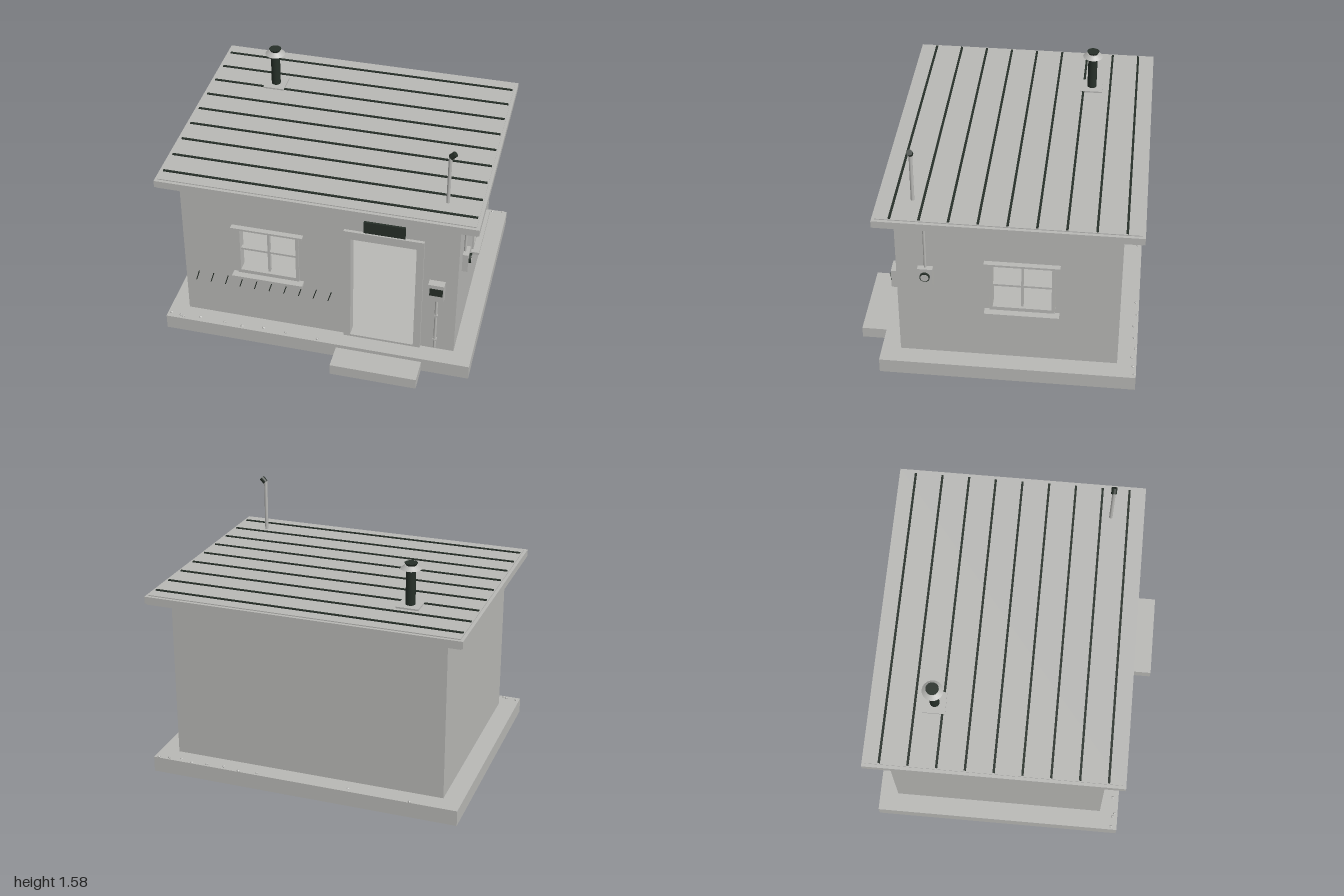
import * as THREE from 'three';

const grey = new THREE.MeshStandardMaterial({ color: 0xb8b8b5 });
grey.name = 'concrete grey';
const dark = new THREE.MeshStandardMaterial({ color: 0x262f28 });
dark.name = 'dark green';

function add(parent, name, geometry, material = grey) {
  const mesh = new THREE.Mesh(geometry, material);
  mesh.name = name;
  parent.add(mesh);
  return mesh;
}

// Box given by its minimum and maximum on each axis
function box(parent, name, [x0, x1], [y0, y1], [z0, z1], material = grey) {
  const mesh = add(parent, name, new THREE.BoxGeometry(x1 - x0, y1 - y0, z1 - z0), material);
  mesh.position.set((x0 + x1) / 2, (y0 + y1) / 2, (z0 + z1) / 2);
  return mesh;
}

// Upright cylinder or cone between two heights
function post(parent, name, x, z, y0, y1, rBottom, rTop, material = grey) {
  const mesh = add(parent, name, new THREE.CylinderGeometry(rTop, rBottom, y1 - y0, 20), material);
  mesh.position.set(x, (y0 + y1) / 2, z);
  return mesh;
}

function rectPath(Type, [x0, x1], [y0, y1]) {
  const p = new Type();
  p.moveTo(x0, y0);
  p.lineTo(x1, y0);
  p.lineTo(x1, y1);
  p.lineTo(x0, y1);
  p.closePath();
  return p;
}

// Upright panel with rectangular openings, its back at z = 0
function panel(xs, ys, openings, depth) {
  const shape = rectPath(THREE.Shape, xs, ys);
  openings.forEach(([hx, hy]) => shape.holes.push(rectPath(THREE.Path, hx, hy)));
  return new THREE.ExtrudeGeometry(shape, { depth, bevelEnabled: false });
}

// Open four-pane window; z = 0 is the outer wall face
function makeWindow(name) {
  const w = new THREE.Group();
  w.name = name;
  const frame = add(w, 'windowFrame',
    panel([-0.2, 0.2], [0.485, 0.85], [[[-0.18, 0.18], [0.51, 0.825]]], 0.07));
  frame.position.z = -0.06;
  box(w, 'verticalGlazingBar', [-0.007, 0.007], [0.51, 0.825], [-0.04, -0.01]);
  box(w, 'horizontalGlazingBar', [-0.18, 0.18], [0.66, 0.674], [-0.04, -0.01]);
  box(w, 'windowSill', [-0.23, 0.23], [0.466, 0.485], [0, 0.053]);
  box(w, 'windowHood', [-0.23, 0.23], [0.848, 0.86], [0, 0.035]);
  return w;
}

export function createModel() {
  const model = new THREE.Group();
  model.name = 'utilityHut';

  // Foundation and step
  box(model, 'foundation', [-1, 1], [0, 0.1], [-0.885, 0.72]);
  box(model, 'doorStep', [0.14, 0.695], [0, 0.075], [0.72, 0.885]);

  // Hollow walls
  const H = [0.1, 1.147];
  const front = add(model, 'frontWall', panel([-0.88, 0.88], H, [
    [[-0.525, -0.125], [0.485, 0.85]],
    [[0.21, 0.62], [0.115, 0.905]],
  ], 0.06));
  front.position.z = 0.54;
  const side = add(model, 'leftWall', panel([-0.54, 0.765], H, [[[-0.035, 0.37], [0.485, 0.85]]], 0.06));
  side.rotation.y = Math.PI / 2;
  side.position.x = 0.82;
  box(model, 'rightWall', [-0.88, -0.82], H, [-0.765, 0.54]);
  box(model, 'backWall', [-0.82, 0.82], H, [-0.765, -0.705]);

  // Windows
  const frontWindow = makeWindow('frontWindow');
  frontWindow.position.set(-0.325, 0, 0.6);
  const sideWindow = makeWindow('sideWindow');
  sideWindow.position.set(0.88, 0, -0.167);
  sideWindow.rotation.y = Math.PI / 2;
  model.add(frontWindow, sideWindow);

  // Doorway
  const doorFrame = add(model, 'doorFrame',
    panel([0.165, 0.665], [0.1, 0.963], [[[0.21, 0.62], [0.115, 0.905]]], 0.02));
  doorFrame.position.z = 0.6;
  box(model, 'doorSign', [0.288, 0.546], [0.967, 1.05], [0.6, 0.614], dark);
  box(model, 'doorLamp', [0.385, 0.45], [1.06, 1.13], [0.6, 0.611]);

  // Roof with raised seams
  box(model, 'roofSlab', [-0.99, 0.99], [1.145, 1.19], [-0.875, 0.702]);
  box(model, 'roofEdge', [-1, 1], [1.155, 1.2], [-0.885, 0.71]);
  box(model, 'roofSheet', [-0.98, 0.98], [1.2, 1.206], [-0.865, 0.69]);
  for (let i = 0; i < 9; i++) {
    const z = -0.78 + i * 0.1731;
    box(model, 'roofSeam', [-0.973, 0.973], [1.204, 1.213], [z - 0.007, z + 0.007], dark);
  }

  // Chimney
  const cx = -0.565, cz = -0.487;
  box(model, 'chimneyPlate', [cx - 0.07, cx + 0.07], [1.204, 1.216], [cz - 0.07, cz + 0.07]);
  post(model, 'chimneyPipe', cx, cz, 1.21, 1.455, 0.03, 0.03, dark);
  post(model, 'chimneyRain hood', cx, cz, 1.443, 1.465, 0.065, 0.038).name = 'chimneyHood';
  post(model, 'chimneyCap', cx, cz, 1.463, 1.48, 0.03, 0.04, dark);

  // Roof mast with tilted head
  post(model, 'mast', 0.775, 0.497, 1.2, 1.545, 0.011, 0.011);
  const head = post(model, 'mastHead', 0.79, 0.497, 1.533, 1.571, 0.018, 0.018, dark);
  head.rotation.z = -Math.PI / 4;

  // Meter box by the door
  box(model, 'meterBox', [0.705, 0.805], [0.54, 0.668], [0.6, 0.65]);
  box(model, 'meterDisplay', [0.715, 0.798], [0.587, 0.641], [0.65, 0.654], dark);
  post(model, 'meterConduit', 0.757, 0.611, 0.12, 0.54, 0.009, 0.009);
  for (const y of [0.19, 0.39]) {
    box(model, 'conduitClip', [0.745, 0.769], [y - 0.006, y + 0.006], [0.6, 0.622]);
  }

  // Side box with round dial
  box(model, 'sideBox', [0.88, 0.916], [0.66, 0.79], [0.373, 0.466]);
  const dial = post(model, 'dialRim', 0.922, 0.42, 0.728, 0.744, 0.031, 0.031, dark);
  const face = post(model, 'dialFace', 0.931, 0.42, 0.735, 0.737, 0.025, 0.025);
  dial.rotation.z = face.rotation.z = -Math.PI / 2;
  post(model, 'sideConduit', 0.888, 0.42, 0.79, 1.125, 0.008, 0.008);

  // Painted slashes along the front wall
  for (let i = 0; i < 10; i++) {
    const slash = add(model, 'paintedSlash', new THREE.BoxGeometry(0.006, 0.08, 0.004), dark);
    slash.position.set(-0.804 + i * 0.0972, 0.392, 0.601);
    slash.rotation.z = -0.29;
  }

  // Pebbles along the front and back ledges
  const rows = [
    [0.69, [-0.98, -0.91, -0.89, -0.78, -0.61, -0.49, -0.35, -0.2, 0.01]],
    [-0.865, [0.97, 0.9, 0.82, 0.74, 0.64, 0.53, 0.42, 0.3, -0.3, -0.7]],
  ];
  rows.forEach(([z, xs]) => xs.forEach((x, i) => {
    const pebble = add(model, 'pebble', new THREE.IcosahedronGeometry(0.011, 0));
    pebble.position.set(x, 0.103, z + (i % 3 - 1) * 0.01);
    pebble.scale.y = 0.7;
    pebble.rotation.y = i;
  }));

  return model;
}
